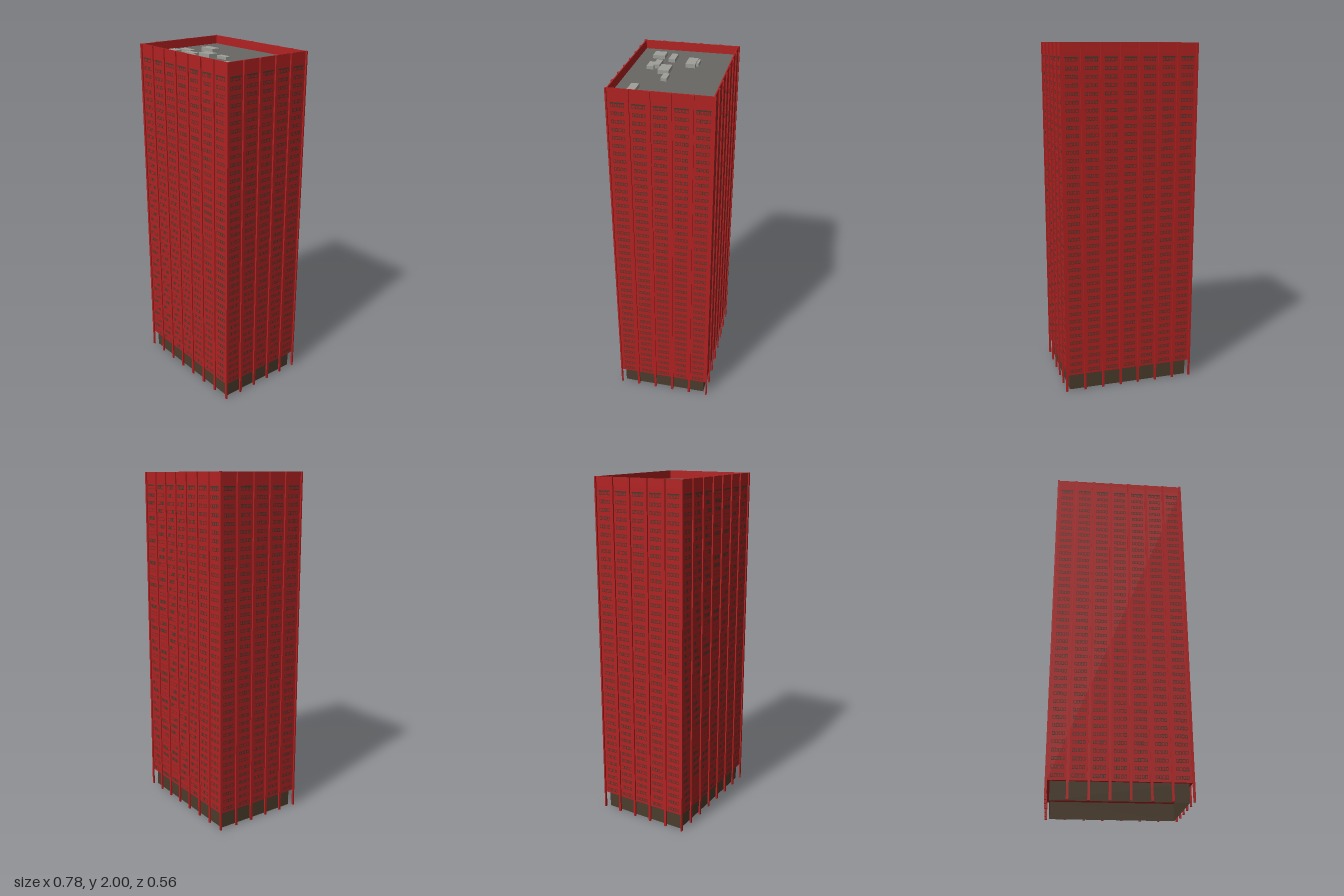
import * as THREE from 'three';
import { mergeGeometries } from 'three/addons/utils/BufferGeometryUtils.js';

const HX = 0.38, HZ = 0.271;      // half size of the tower body
const BASE = 0.1, ROOF = 1.95, TOP = 2;
const BAY = 0.109, FLOOR = 0.0447, FLOORS = 41;

function material(name, color, side = THREE.FrontSide) {
  const m = new THREE.MeshStandardMaterial({ color, side });
  m.name = name;
  return m;
}

// Box geometry from its lower and upper corners
function boxBetween(x0, y0, z0, x1, y1, z1) {
  return new THREE.BoxGeometry(x1 - x0, y1 - y0, z1 - z0)
    .translate((x0 + x1) / 2, (y0 + y1) / 2, (z0 + z1) / 2);
}

function rectangle(Type, w, h) {
  return new Type([
    new THREE.Vector2(-w / 2, -h / 2), new THREE.Vector2(w / 2, -h / 2),
    new THREE.Vector2(w / 2, h / 2), new THREE.Vector2(-w / 2, h / 2),
  ]);
}

export function createModel() {
  const group = new THREE.Group();
  group.name = 'officeTower';
  const red = material('red cladding', 0xb22222);
  const dark = material('dark window frame', 0x45392c);
  const glass = material('brown lobby glass', 0x4a3c2c, THREE.DoubleSide);
  const grey = material('grey roof', 0x696764);
  const light = material('light grey plant', 0x9e9f99);

  function add(name, geometry, mat) {
    const mesh = new THREE.Mesh(geometry, mat);
    mesh.name = name;
    group.add(mesh);
  }

  // Main shaft
  add('towerBody', boxBetween(-HX, BASE, -HZ, HX, ROOF, HZ), red);

  // Parapet ring around the sunken roof
  const ring = rectangle(THREE.Shape, HX * 2, HZ * 2);
  ring.holes.push(rectangle(THREE.Path, HX * 2 - 0.012, HZ * 2 - 0.012));
  add('parapet', new THREE.ExtrudeGeometry(ring, { depth: TOP - ROOF, bevelEnabled: false })
    .rotateX(-Math.PI / 2).translate(0, ROOF, 0), red);
  add('roof', new THREE.PlaneGeometry(HX * 2 - 0.012, HZ * 2 - 0.012)
    .rotateX(-Math.PI / 2).translate(0, ROOF + 0.002, 0), grey);

  // Open-bottomed glass lobby, set back from the columns
  const LX = 0.363, LZ = 0.253;
  const lobby = [];
  for (const s of [0, Math.PI]) {
    lobby.push(new THREE.PlaneGeometry(LX * 2, BASE).translate(0, BASE / 2, LZ).rotateY(s));
    lobby.push(new THREE.PlaneGeometry(LZ * 2, BASE).translate(0, BASE / 2, LX).rotateY(s + Math.PI / 2));
  }
  add('lobbyGlass', mergeGeometries(lobby), glass);

  // Full-height columns: corner posts and ribs along each face
  const columns = [];
  for (const sx of [-1, 1]) for (const sz of [-1, 1]) {
    columns.push(new THREE.BoxGeometry(0.013, TOP, 0.008).translate(sx * 0.3825, TOP / 2, sz * 0.274));
  }
  for (const s of [-1, 1]) {
    for (let i = -2.5; i <= 2.5; i++) {
      columns.push(new THREE.BoxGeometry(0.013, TOP, 0.01).translate(i * BAY, TOP / 2, s * 0.273));
    }
    for (let i = -1.5; i <= 1.5; i++) {
      columns.push(new THREE.BoxGeometry(0.01, TOP, 0.013).translate(s * 0.384, TOP / 2, i * BAY));
    }
  }
  add('columns', mergeGeometries(columns), red);

  // Window frames: four slim outlines per bay on every floor
  const frame = rectangle(THREE.Shape, 0.015, 0.02);
  frame.holes.push(rectangle(THREE.Path, 0.009, 0.013));
  const frameGeometry = new THREE.ShapeGeometry(frame);
  function facade(bays, distance, angle) {
    const parts = [];
    for (let b = 0; b < bays; b++) {
      const centre = (b - (bays - 1) / 2) * BAY;
      for (let f = 0; f < FLOORS; f++) {
        const y = 0.125 + f * FLOOR;
        for (let w = -1.5; w <= 1.5; w++) {
          parts.push(frameGeometry.clone().translate(centre + w * 0.018, y, distance));
        }
      }
      // Continuous slot above the top floor
      parts.push(new THREE.PlaneGeometry(0.075, 0.005).translate(centre, 1.925, distance + 0.001));
    }
    return mergeGeometries(parts.map((g) => g.index ? g.toNonIndexed() : g)).rotateY(angle);
  }
  add('frontWindows', facade(7, HZ + 0.002, 0), dark);
  add('backWindows', facade(7, HZ + 0.002, Math.PI), dark);
  add('leftWindows', facade(5, HX + 0.002, Math.PI / 2), dark);
  add('rightWindows', facade(5, HX + 0.002, -Math.PI / 2), dark);

  // Rooftop plant units: x0, x1, z0, z1, height
  const units = [
    [-0.21, -0.107, -0.076, -0.022, 0.024],
    [-0.204, -0.134, -0.09, -0.055, 0.02],
    [-0.265, -0.172, 0.05, 0.087, 0.02],
    [-0.28, -0.212, 0.117, 0.185, 0.022],
    [-0.143, -0.06, 0.11, 0.145, 0.024],
    [-0.115, -0.04, 0.14, 0.178, 0.02],
    [-0.074, 0.018, 0.042, 0.102, 0.024],
    [0.04, 0.116, 0.03, 0.063, 0.018],
    [0.222, 0.318, 0.146, 0.188, 0.022],
  ];
  add('roofUnits', mergeGeometries(units.map(([x0, x1, z0, z1, h]) =>
    boxBetween(x0, ROOF, z0, x1, ROOF + h, z1))), light);

  return group;
}
